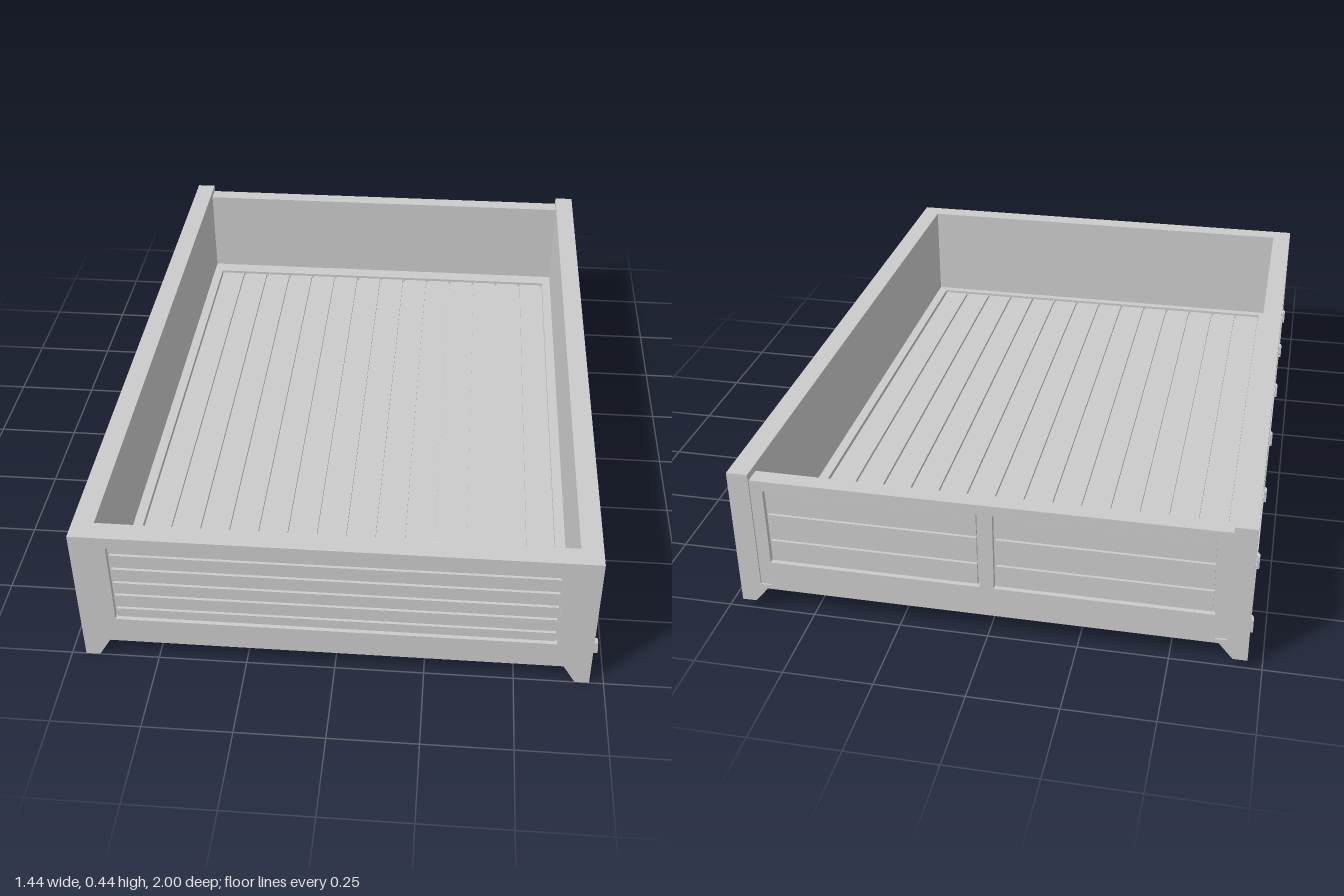
import * as THREE from 'three';

const material = new THREE.MeshStandardMaterial({ color: 0xcccccc, flatShading: true });
const TOP = 0.445, HALF = 0.71, FRAME = 0.015, BOARD = 0.008;

function add(parent, name, geometry) {
  const mesh = new THREE.Mesh(geometry, material);
  mesh.name = name;
  parent.add(mesh);
  return mesh;
}

// Box given by its limits on each axis
function block(parent, name, x0, x1, y0, y1, z0, z1) {
  const mesh = add(parent, name, new THREE.BoxGeometry(x1 - x0, y1 - y0, z1 - z0));
  mesh.position.set((x0 + x1) / 2, (y0 + y1) / 2, (z0 + z1) / 2);
  return mesh;
}

function rectangle(path, x0, x1, y0, y1) {
  path.moveTo(x0, y0);
  path.lineTo(x1, y0);
  path.lineTo(x1, y1);
  path.lineTo(x0, y1);
  path.closePath();
  return path;
}

// Rectangular plate with rectangular openings
function framePlate(outer, openings, depth) {
  const shape = rectangle(new THREE.Shape(), ...outer);
  for (const o of openings) shape.holes.push(rectangle(new THREE.Path(), ...o));
  return new THREE.ExtrudeGeometry(shape, { depth, bevelEnabled: false });
}

// Wall facing +z with its outer face at z = 0: frame, core and grooved boards
function wall(name, outer, core, thickness, openings, seams) {
  const group = new THREE.Group();
  group.name = name;
  add(group, name + 'Frame', framePlate(outer, openings, FRAME)).position.z = -FRAME;
  block(group, name + 'Core', ...core, -thickness, -FRAME);
  for (const [x0, x1, y0, y1] of openings) {
    const levels = [y0, ...seams, y1];
    for (let i = 0; i < levels.length - 1; i++) {
      block(group, name + 'Board', x0 + 0.006, x1 - 0.006,
        levels[i] + 0.005, levels[i + 1] - 0.005, -FRAME, -FRAME + BOARD);
    }
  }
  return group;
}

// Foot at a corner, tapering towards its outer corner
function foot(parent, sx, sz, bottom, topDepth) {
  const top = 0.085;
  const geometry = new THREE.BoxGeometry(1, 1, 1);
  const p = geometry.attributes.position;
  for (let i = 0; i < p.count; i++) {
    const high = p.getY(i) > 0;
    const outX = p.getX(i) * sx > 0, outZ = p.getZ(i) * sz > 0;
    p.setXYZ(i,
      sx * (outX ? HALF : high ? 0.62 : 0.67),
      high ? top : bottom,
      sz * (outZ ? 1 : high ? 1 - topDepth : 0.96));
  }
  geometry.computeVertexNormals();
  add(parent, 'foot', geometry);
}

export function createModel() {
  const model = new THREE.Group();
  model.name = 'cargoBed';

  // Front wall
  const front = wall('frontWall', [-HALF, HALF, 0.06, TOP], [-0.695, 0.695, 0.06, TOP], 0.06,
    [[-0.61, 0.61, 0.145, 0.41]], [0.185, 0.235, 0.282, 0.332, 0.383]);
  front.position.z = 1;
  model.add(front);

  // Side walls with three bays each
  const bays = [[0.38, 0.96], [-0.29, 0.34], [-0.96, -0.34]];
  for (const s of [1, -1]) {
    const span = (z0, z1) => s > 0 ? [-z1, -z0] : [z0, z1];
    const side = wall(s > 0 ? 'leftWall' : 'rightWall',
      [...span(-1, 0.985), 0.085, TOP], [...span(-1, 0.94), 0.085, TOP], 0.06,
      bays.map(b => [...span(...b), 0.15, 0.415]), [0.235, 0.33]);
    side.rotation.y = s * Math.PI / 2;
    side.position.x = s * HALF;
    model.add(side);

    // Tie hooks along the lower rail
    for (const z of [0.965, 0.667, 0.358, 0.022, -0.318, -0.667, -0.955]) {
      const hook = new THREE.Group();
      hook.name = 'tieHook';
      hook.position.set(s * HALF, 0, z);
      block(hook, 'hookPlate', -0.004, 0.004, 0.095, 0.135, -0.01, 0.01);
      block(hook, 'hookTop', -0.007, 0.014, 0.11, 0.132, -0.009, 0.009);
      block(hook, 'hookTip', -0.007, 0.016, 0.09, 0.11, -0.006, 0.006);
      model.add(hook);
    }

    foot(model, s, 1, 0, 0.07);
    foot(model, s, -1, 0.025, 0.055);
  }

  // Tailgate, a little lower than the corner posts
  const gate = wall('tailgate', [-0.65, 0.65, 0.085, 0.425], [-0.65, 0.65, 0.085, 0.425], 0.05,
    [[-0.615, -0.02, 0.16, 0.395], [0.02, 0.615, 0.16, 0.395]], [0.235, 0.32]);
  gate.rotation.y = Math.PI;
  gate.position.z = -0.995;
  model.add(gate);

  // Floor: slab, raised rim and planks
  block(model, 'floorSlab', -0.695, 0.695, 0.06, 0.115, -0.985, 0.945);
  const rim = add(model, 'floorRim', framePlate([-0.655, 0.655, -0.945, 0.945],
    [[-0.62, 0.62, -0.915, 0.895]], 0.018));
  rim.rotation.x = -Math.PI / 2;
  rim.position.y = 0.114;
  const planks = 14, pitch = 1.24 / planks;
  for (let i = 0; i < planks; i++) {
    const x = -0.62 + i * pitch;
    block(model, 'floorPlank', x + 0.004, x + pitch - 0.004, 0.11, 0.125, -0.892, 0.912);
  }

  return model;
}
